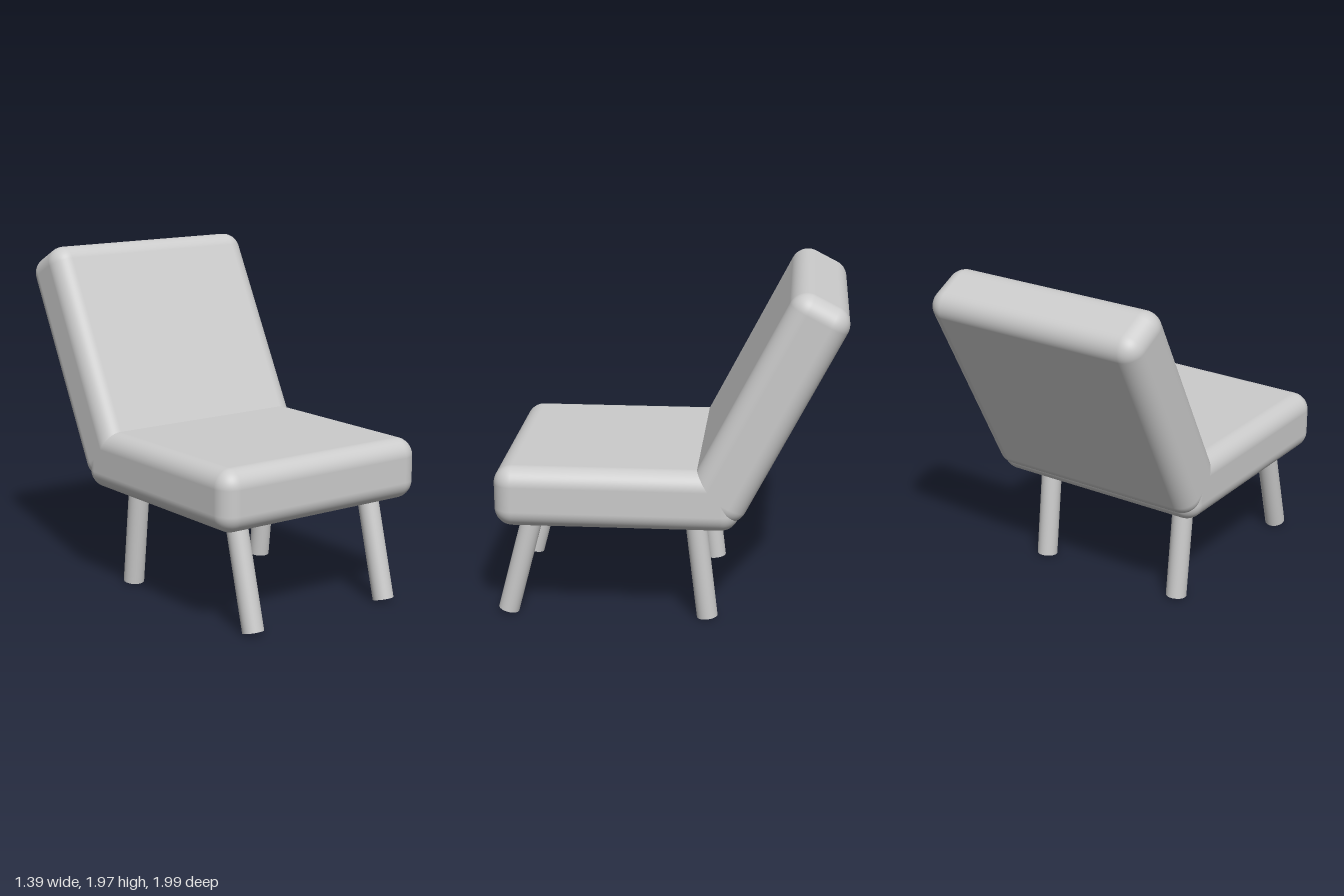
import * as THREE from 'three';
import { RoundedBoxGeometry } from 'three/addons/geometries/RoundedBoxGeometry.js';

export function createModel() {
  const chair = new THREE.Group();
  chair.name = 'chair';
  const material = new THREE.MeshStandardMaterial({ color: 0xcccccc });

  // Seat and backrest are the same square cushion
  const cushion = new RoundedBoxGeometry(1.39, 0.355, 1.39, 8, 0.105);

  const seat = new THREE.Mesh(cushion, material);
  seat.name = 'seat';
  seat.position.set(0, 0.767, 0.29);
  chair.add(seat);

  // Backrest stands up and leans backwards
  const backrest = new THREE.Mesh(cushion, material);
  backrest.name = 'backrest';
  backrest.position.set(0, 1.303, -0.552);
  backrest.rotation.x = THREE.MathUtils.degToRad(90 - 27.3);
  chair.add(backrest);

  // Round straight leg from the foot centre up into the seat
  const up = new THREE.Vector3(0, 1, 0);
  function addLeg(name, foot, top) {
    const axis = top.clone().sub(foot);
    const leg = new THREE.Mesh(new THREE.CylinderGeometry(0.061, 0.061, axis.length(), 32), material);
    leg.name = name;
    leg.position.copy(foot).add(top).multiplyScalar(0.5);
    leg.quaternion.setFromUnitVectors(up, axis.normalize());
    chair.add(leg);
  }

  for (const [side, x] of [['Left', 0.475], ['Right', -0.475]]) {
    addLeg(`front${side}Leg`, new THREE.Vector3(x, 0.016, 0.942), new THREE.Vector3(x, 0.7, 0.761));
    addLeg(`rear${side}Leg`, new THREE.Vector3(x, 0.008, -0.222), new THREE.Vector3(x, 0.7, -0.141));
  }

  return chair;
}
